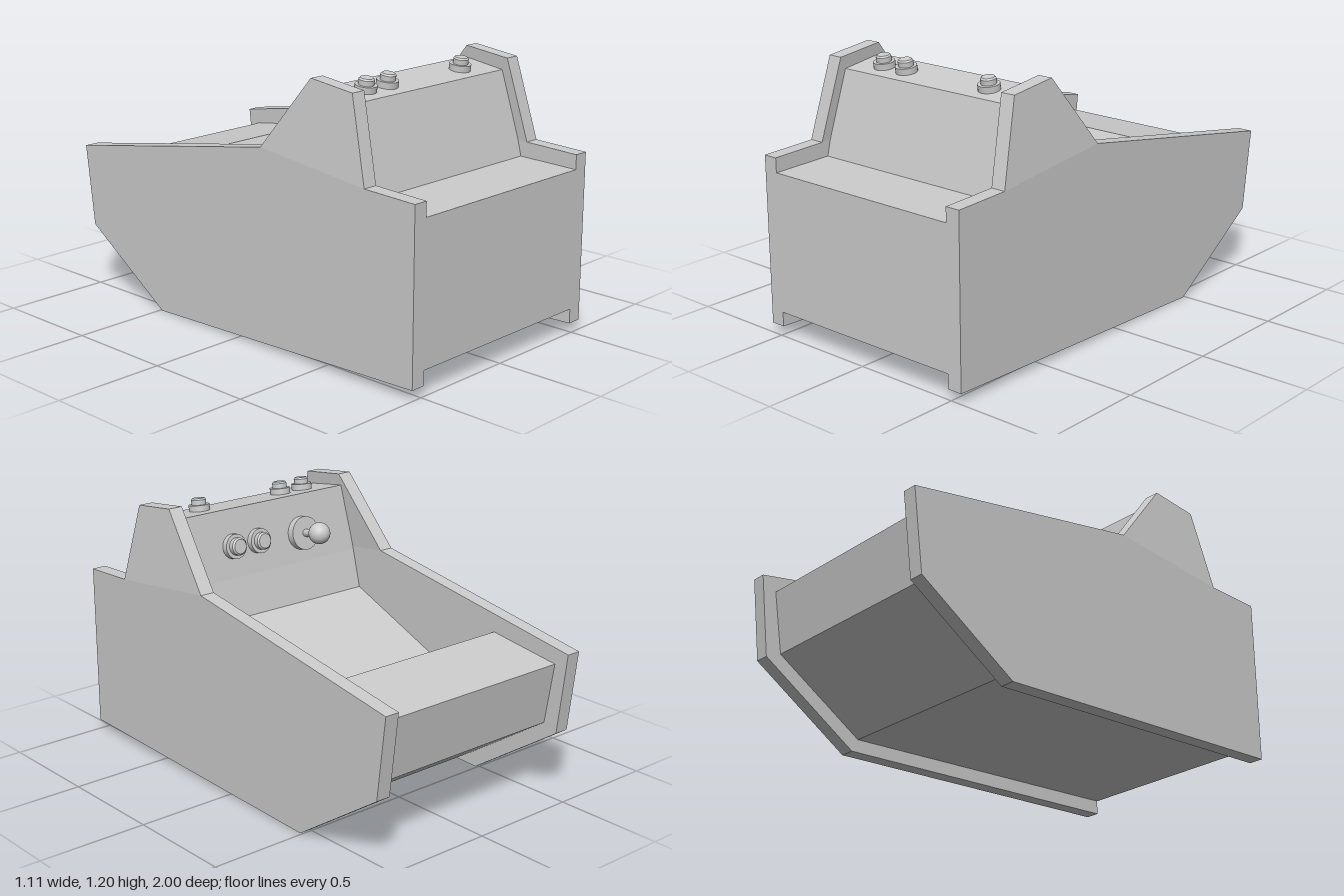
import * as THREE from 'three';

const material = new THREE.MeshStandardMaterial({ color: 0xcccccc });

function add(parent, name, geometry) {
  const mesh = new THREE.Mesh(geometry, material);
  mesh.name = name;
  parent.add(mesh);
  return mesh;
}

// Extrudes a (z, y) outline along x, between x0 and x1; points above 0.9 lean inward
const LEAN = 0.032;
function slab(points, x0, x1) {
  const shape = new THREE.Shape(points.map(([z, y]) => new THREE.Vector2(z, y)));
  const geometry = new THREE.ExtrudeGeometry(shape, { depth: x1 - x0, bevelEnabled: false });
  geometry.rotateY(-Math.PI / 2).translate(x1, 0, 0);
  const p = geometry.attributes.position;
  for (let i = 0; i < p.count; i++) {
    if (p.getY(i) > 0.9) p.setX(i, p.getX(i) - Math.sign(p.getX(i)) * LEAN);
  }
  geometry.computeVertexNormals();
  return geometry;
}

// Cylinder standing on y
function disc(radiusTop, radiusBottom, y0, y1, sides = 24) {
  return new THREE.CylinderGeometry(radiusTop, radiusBottom, y1 - y0, sides).translate(0, (y0 + y1) / 2, 0);
}

function button(name, widen) {
  const g = new THREE.Group();
  g.name = name;
  add(g, 'buttonRing', disc(0.047 * widen, 0.047 * widen, -0.012, 0.028));
  add(g, 'buttonPlunger', disc(0.033 * widen, 0.033 * widen, 0.028, 0.05));
  add(g, 'buttonTop', disc(0.027 * widen, 0.033 * widen, 0.05, 0.057));
  return g;
}

// Places a part on a sloped face, its own y axis along the face normal
function mount(parent, part, x, y, z, ny, nz) {
  part.position.set(x, y, z);
  part.quaternion.setFromUnitVectors(new THREE.Vector3(0, 1, 0), new THREE.Vector3(0, ny, nz).normalize());
  parent.add(part);
}

export function createModel() {
  const model = new THREE.Group();
  model.name = 'arcadeCabinet';

  // Side panels: straight lower part and a leaning upper wing
  const lower = [[1, 0.045], [1, 0.8], [0.74, 0.81], [0.16, 0.875], [-1, 0.68], [-0.955, 0.31], [-0.49, 0]];
  const wing = [[0.74, 0.81], [0.645, 1.17], [0.42, 1.197], [0.16, 0.875]];
  for (const [side, x0, x1] of [['left', 0.485, 0.553], ['right', -0.553, -0.485]]) {
    add(model, side + 'SidePanel', slab(lower, x0, x1));
    add(model, side + 'SideWing', slab(wing, x0, x1));
  }

  // Body between the panels: base, ledge, controls, sunken screen, top box
  const body = [
    [1, 0.11], [1, 0.735], [0.71, 0.742],
    [0.615, 1.115], [0.41, 1.145], [0.35, 0.84], [0.305, 0.665],
    [-0.375, 0.385], [-0.575, 0.67], [-0.93, 0.62],
    [-0.885, 0.34], [-0.46, 0.06],
  ];
  add(model, 'body', slab(body, -0.495, 0.495));

  // Three buttons on the narrow shelf
  for (const x of [-0.313, -0.183, 0.282]) {
    mount(model, button('shelfButton', 1), x, 1.128, 0.523, 0.205, 0.03);
  }

  // Two buttons and a joystick on the control panel
  for (const x of [0.07, 0.21]) {
    mount(model, button('panelButton', 1.2), x, 0.98, 0.378, 0.06, -0.305);
  }
  const joystick = new THREE.Group();
  joystick.name = 'joystick';
  add(joystick, 'joystickBase', disc(0.077, 0.077, -0.012, 0.035));
  add(joystick, 'joystickShaft', disc(0.018, 0.018, 0.03, 0.1, 16));
  add(joystick, 'joystickBall', new THREE.SphereGeometry(0.05, 24, 16).translate(0, 0.132, 0));
  mount(model, joystick, -0.185, 0.97, 0.376, 0.06, -0.305);

  return model;
}
